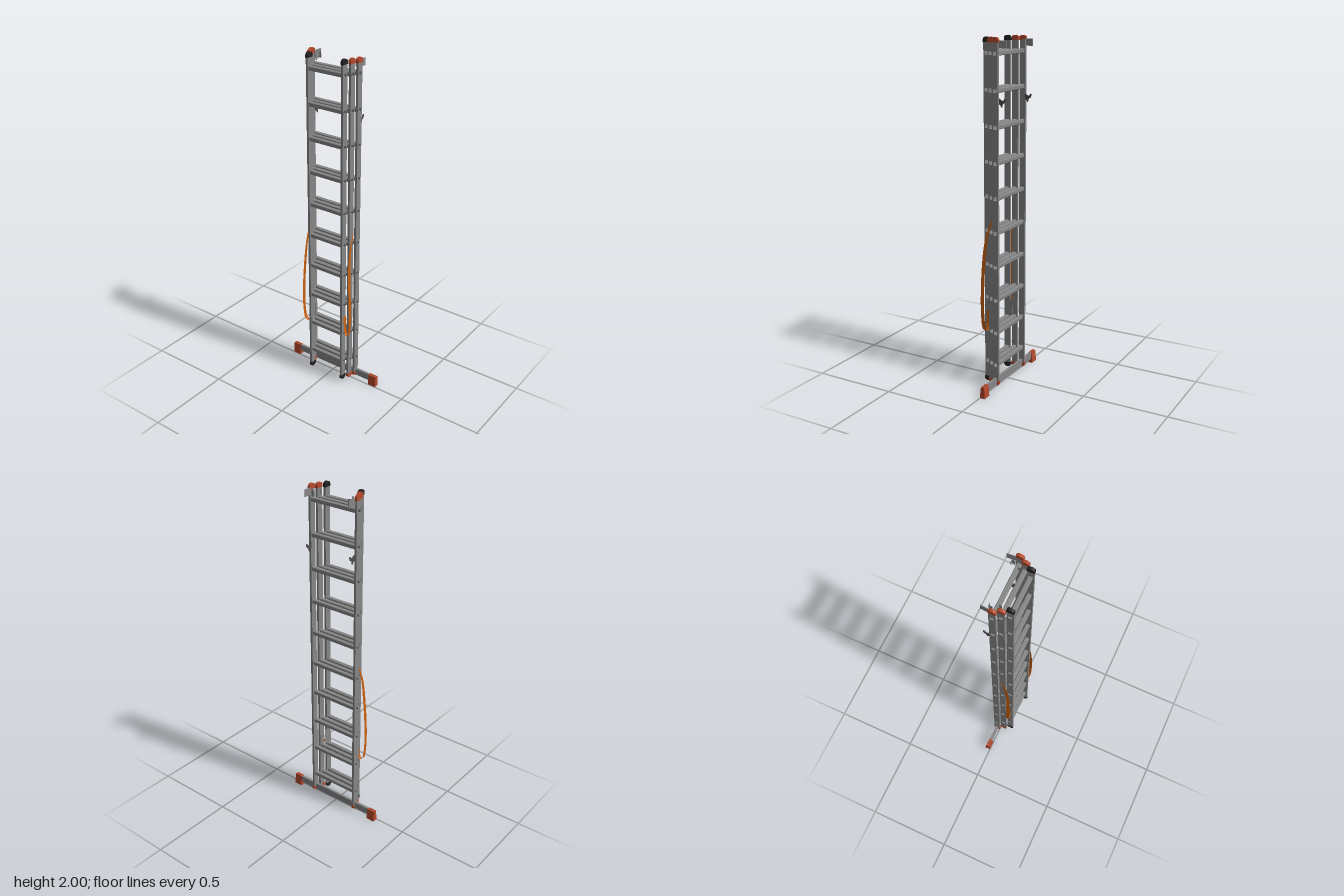
import * as THREE from 'three';

const mat = (name, color, side = THREE.FrontSide) => {
  const m = new THREE.MeshStandardMaterial({ color, side });
  m.name = name;
  return m;
};

export function createModel() {
  const aluminium = mat('aluminium', 0x868686);
  const steel = mat('dark steel', 0x505050, THREE.DoubleSide);
  const redPlastic = mat('red plastic', 0xb54a2e);
  const blackPlastic = mat('black plastic', 0x262322);
  const webbing = mat('orange webbing', 0xc8600f, THREE.DoubleSide);

  const root = new THREE.Group();
  root.name = 'extensionLadder';

  const add = (parent, name, geometry, material, x = 0, y = 0, z = 0) => {
    const mesh = new THREE.Mesh(geometry, material);
    mesh.name = name;
    mesh.position.set(x, y, z);
    parent.add(mesh);
    return mesh;
  };

  // Chamfered square outline, used for rungs and the holes they pass through
  const squarePoints = (half, cut, cx = 0, cy = 0) => [
    [half, half - cut], [half - cut, half], [cut - half, half], [-half, half - cut],
    [-half, cut - half], [cut - half, -half], [half - cut, -half], [half, cut - half],
  ].map(([x, y]) => new THREE.Vector2(cx + x, cy + y));

  // Extrude a side outline (z, y) along x, centred on its thickness
  const extrudeX = (shape, width) => {
    const g = new THREE.ExtrudeGeometry(shape, { depth: width, bevelEnabled: false, curveSegments: 8 });
    g.translate(0, 0, -width / 2);
    g.rotateY(-Math.PI / 2); // shape x becomes z
    return g;
  };

  const rungYs = Array.from({ length: 10 }, (_, i) => 0.146 + i * 0.1965);
  const stileWidth = 0.013, stileDepth = 0.037, capDepth = 0.041;

  // Hollow side rail with a hole at each rung
  const stileShape = new THREE.Shape([
    [-stileDepth / 2, 0.03], [stileDepth / 2, 0.03], [stileDepth / 2, 1.985], [-stileDepth / 2, 1.985],
  ].map(([z, y]) => new THREE.Vector2(z, y)));
  for (const y of rungYs) stileShape.holes.push(new THREE.Path(squarePoints(0.0115, 0.002, 0, y)));
  const stileGeo = extrudeX(stileShape, stileWidth);

  // End cap: short collar with a low arched crown
  const capShape = new THREE.Shape();
  capShape.moveTo(-capDepth / 2, -0.014);
  capShape.lineTo(capDepth / 2, -0.014);
  capShape.lineTo(capDepth / 2, 0);
  capShape.bezierCurveTo(capDepth / 2, 0.02, -capDepth / 2, 0.02, -capDepth / 2, 0);
  const capGeo = extrudeX(capShape, 0.016);

  // Three nested sections, widest at the back
  const sections = [
    { name: 'backSection', x: 0.154, z: -0.016, cap: redPlastic },
    { name: 'middleSection', x: 0.135, z: 0.0215, cap: redPlastic },
    { name: 'frontSection', x: 0.1135, z: 0.0595, cap: blackPlastic },
  ];
  for (const s of sections) {
    const section = new THREE.Group();
    section.name = s.name;
    section.position.z = s.z;
    root.add(section);

    for (const side of [-1, 1]) {
      add(section, 'stile', stileGeo, aluminium, side * s.x);
      add(section, 'topCap', capGeo, s.cap, side * s.x, 1.985);
      const foot = add(section, 'bottomCap', capGeo, s.cap, side * s.x, 0.034);
      foot.rotation.x = Math.PI;
    }

    // Hollow rungs
    const rungShape = new THREE.Shape(squarePoints(0.0118, 0.003));
    rungShape.holes.push(new THREE.Path(squarePoints(0.0102, 0.002)));
    const rungGeo = extrudeX(rungShape, 2 * s.x + stileWidth + 0.002);
    for (const y of rungYs) add(section, 'rung', rungGeo, aluminium, 0, y);
  }

  // Stabiliser bar with flared feet
  add(root, 'stabiliserBar', new THREE.BoxGeometry(0.54, 0.042, 0.015), aluminium, 0, 0.046, -0.016);
  const footShape = new THREE.Shape([
    [-0.015, 0], [0.015, 0], [0.015, 0.022], [0.01, 0.068], [-0.01, 0.068], [-0.015, 0.022],
  ].map(([z, y]) => new THREE.Vector2(z, y)));
  const footGeo = extrudeX(footShape, 0.05);

  // Catch hook outline, (z, y), opening upwards behind the stile
  const hookShape = new THREE.Shape([
    [0, 0.025], [-0.014, 0.014], [-0.026, 0.012], [-0.034, 0.024], [-0.042, 0.02],
    [-0.034, 0.002], [-0.022, -0.006], [-0.018, -0.024], [-0.008, -0.012], [0, -0.006],
  ].map(([z, y]) => new THREE.Vector2(z, y)));
  const hookGeo = extrudeX(hookShape, 0.005);

  // Strap: a flat ribbon following a curve, wide along z
  const strapGeometry = side => {
    const path = new THREE.CatmullRomCurve3([
      [0.148, 1.0, 0.012], [0.152, 0.9, 0.044], [0.158, 0.74, 0.062], [0.168, 0.54, 0.066],
      [0.166, 0.41, 0.064], [0.156, 0.352, 0.06], [0.14, 0.342, 0.056],
      [0.128, 0.37, 0.054], [0.122, 0.46, 0.052],
    ].map(([x, y, z]) => new THREE.Vector3(side * x, y, z)));
    const steps = 48, positions = [], index = [];
    for (let i = 0; i <= steps; i++) {
      const p = path.getPoint(i / steps);
      const half = 0.004 + 0.007 * Math.min(1, i / 10);
      positions.push(p.x, p.y, p.z - half, p.x, p.y, p.z + half);
      const a = 2 * i;
      if (i < steps) index.push(a, a + 1, a + 2, a + 1, a + 3, a + 2);
    }
    const g = new THREE.BufferGeometry();
    g.setAttribute('position', new THREE.Float32BufferAttribute(positions, 3));
    g.setIndex(index);
    g.computeVertexNormals();
    return g;
  };

  for (const side of [-1, 1]) {
    add(root, 'stabiliserFoot', footGeo, redPlastic, side * 0.285, 0, -0.016);
    add(root, 'footScrew', new THREE.CylinderGeometry(0.004, 0.004, 0.004, 12), steel, side * 0.285, 0.069, -0.016);

    // Guide plates at the top of the back section
    const plate = add(root, 'topGuidePlate', new THREE.BoxGeometry(0.004, 0.04, 0.048), aluminium, side * 0.146, 1.962, -0.057);
    plate.rotation.y = side * 0.06;
    add(root, 'guideArm', new THREE.BoxGeometry(0.002, 0.035, 0.02), aluminium, side * 0.127, 1.96, -0.037);
    add(root, 'guideLip', new THREE.BoxGeometry(0.013, 0.035, 0.002), aluminium, side * 0.121, 1.96, -0.047);

    // Smaller guide between the middle and front sections
    add(root, 'middleGuideArm', new THREE.BoxGeometry(0.002, 0.03, 0.014), aluminium, side * 0.105, 1.96, 0.004);
    add(root, 'lowerGuide', new THREE.BoxGeometry(0.002, 0.1, 0.02), aluminium, side * 0.105, 0.41, 0.03);

    add(root, 'catchHook', hookGeo, steel, side * 0.146, 1.655, -0.034);
    add(root, 'strap', strapGeometry(side), webbing);
  }

  return root;
}
